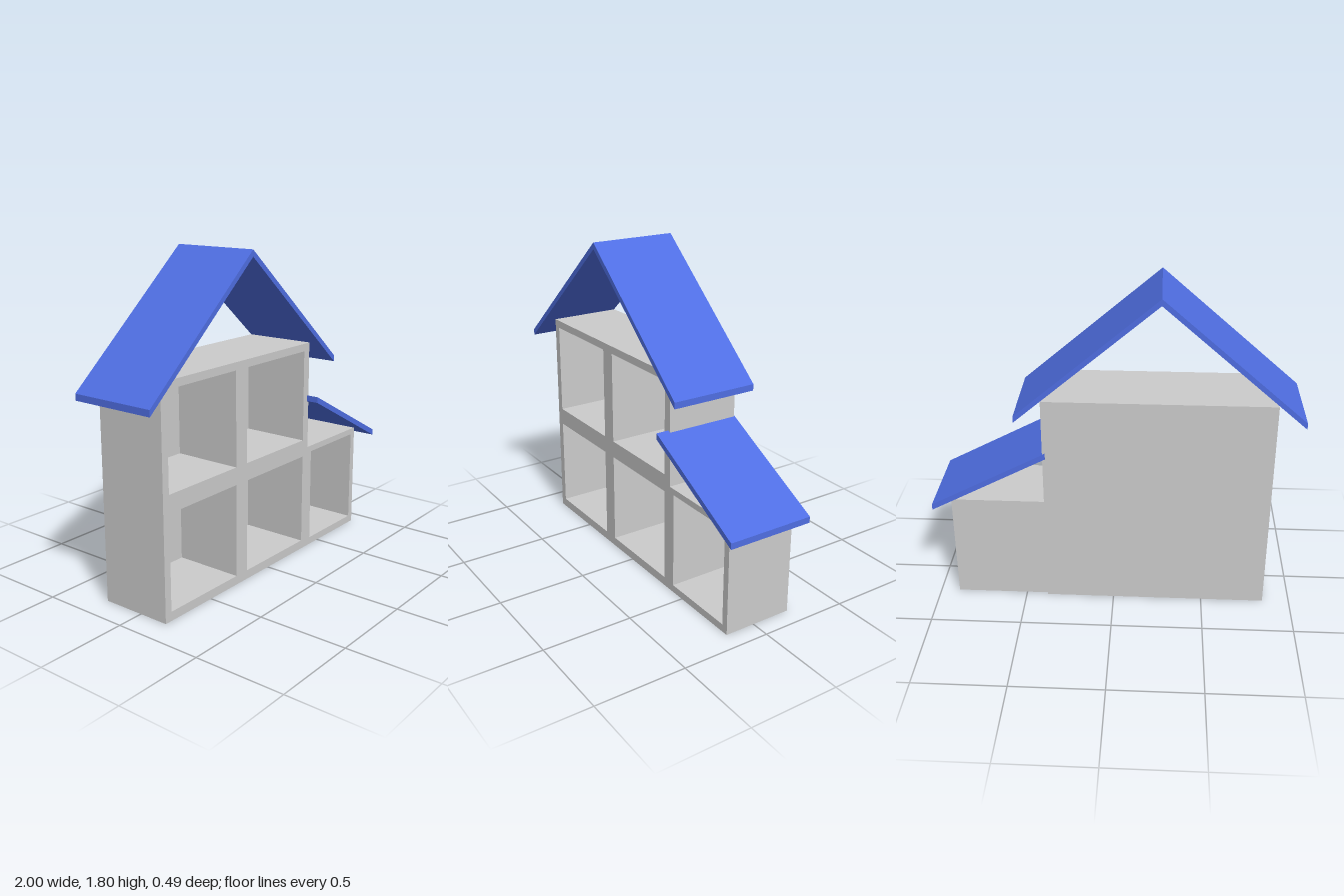
import * as THREE from 'three';

const grey = new THREE.MeshStandardMaterial({ color: 0xcccccc, flatShading: true });
const blue = new THREE.MeshStandardMaterial({ color: 0x4f6ee2, flatShading: true });

// Extrude an outline (with rectangular holes) from z0 to z1
function slab(name, points, z0, z1, material, holes = []) {
  const shape = new THREE.Shape(points.map(([x, y]) => new THREE.Vector2(x, y)));
  for (const h of holes) {
    shape.holes.push(new THREE.Path(rect(...h).map(([x, y]) => new THREE.Vector2(x, y))));
  }
  const geometry = new THREE.ExtrudeGeometry(shape, { depth: z1 - z0, bevelEnabled: false });
  geometry.translate(0, 0, z0);
  const mesh = new THREE.Mesh(geometry, material);
  mesh.name = name;
  return mesh;
}

function rect(x0, y0, x1, y1) {
  return [[x0, y0], [x1, y0], [x1, y1], [x0, y1]];
}

// Open-fronted cabinet: walls and shelves around the rooms, closed by a thin back panel
function cabinet(name, outline, rooms, back, front) {
  const group = new THREE.Group();
  group.name = name;
  const panel = 0.015;
  group.add(slab('wallsAndFloors', outline, back + panel, front, grey, rooms));
  group.add(slab('backPanel', outline, back, back + panel, grey));
  return group;
}

export function createModel() {
  const house = new THREE.Group();
  house.name = 'dollhouseShelf';

  // Main house: two floors of two rooms
  const rooms = [];
  for (const y of [0.05, 0.67]) {
    for (const x of [-0.807, -0.192]) rooms.push([x, y, x + 0.523, y + 0.522]);
  }
  house.add(cabinet('mainHouse', rect(-0.85, 0, 0.38, 1.235), rooms, -0.24, 0.172));

  // Side annex: one room, slightly shallower
  house.add(cabinet('annex', rect(0.38, 0, 0.895, 0.618),
    [[0.417, 0.042, 0.857, 0.583]], -0.225, 0.172));

  // Gable roof with plumb-cut eaves
  house.add(slab('gableRoof', [
    [-1, 1.113], [-0.238, 1.769], [0.525, 1.113],
    [0.525, 1.148], [-0.238, 1.805], [-1, 1.148],
  ], -0.245, 0.245, blue));

  // Sloping annex roof
  house.add(slab('annexRoof', [
    [0.365, 0.897], [1, 0.56], [1, 0.594], [0.365, 0.931],
  ], -0.245, 0.245, blue));

  return house;
}
